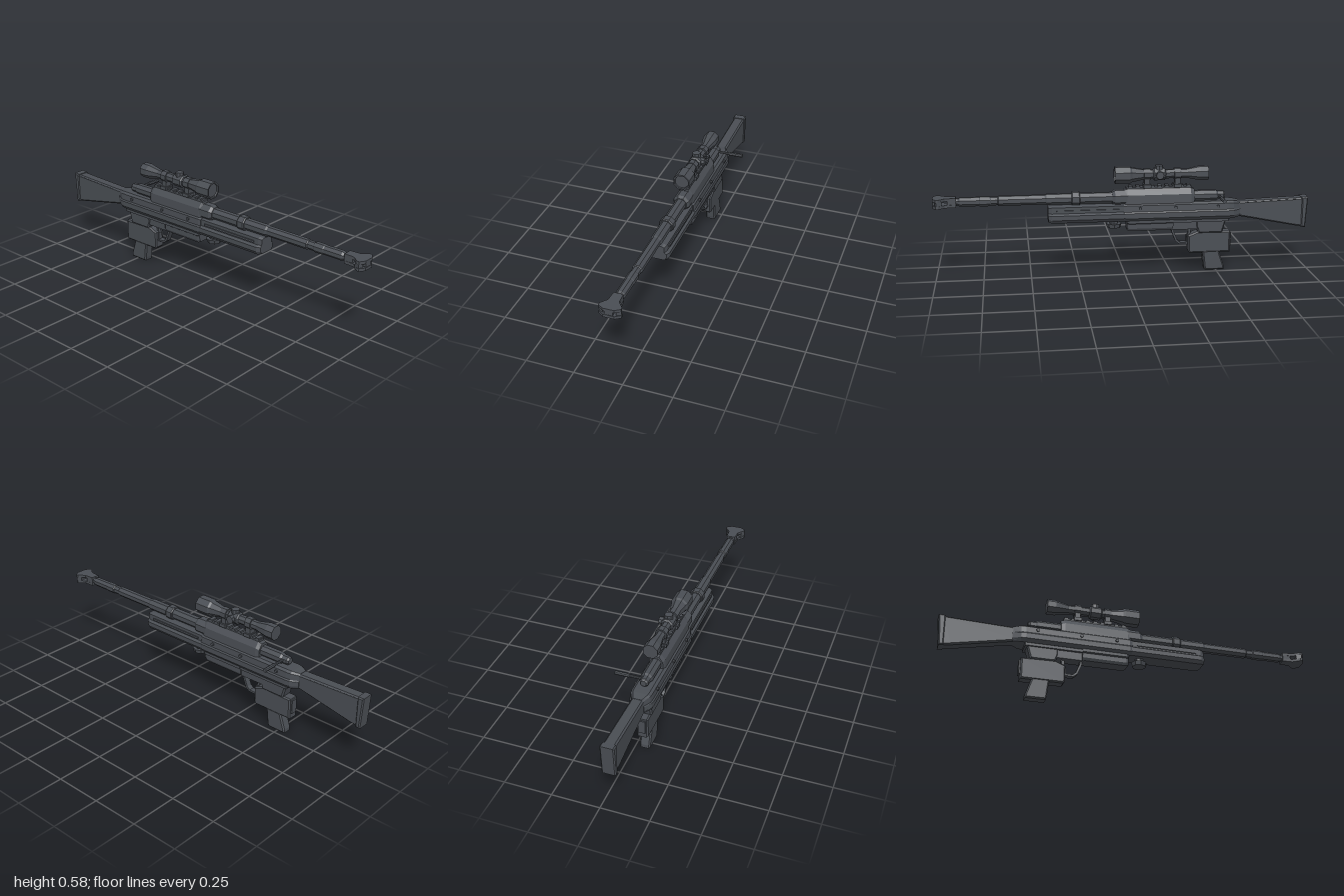
import * as THREE from 'three';

const steel = new THREE.MeshStandardMaterial({ color: 0x4a4e54, flatShading: true });
steel.name = 'gunmetal';

export function createModel() {
  const root = new THREE.Group();
  root.name = 'rifle';
  const body = new THREE.Group();
  body.name = 'body';
  body.position.z = 0.05;
  root.add(body);

  const add = (name, geo, x = 0, y = 0, z = 0) => {
    const m = new THREE.Mesh(geo, steel);
    m.name = name;
    m.position.set(x, y, z);
    body.add(m);
    return m;
  };
  const box = (name, x0, x1, y0, y1, half, z = 0) =>
    add(name, new THREE.BoxGeometry(x1 - x0, y1 - y0, half * 2), (x0 + x1) / 2, (y0 + y1) / 2, z);

  // Turned part along x from [x, radius] pairs
  const turned = (name, y, profile, sides = 8) => {
    const pts = [[profile[0][0], 0], ...profile, [profile[profile.length - 1][0], 0]];
    const g = new THREE.LatheGeometry(pts.map(([x, r]) => new THREE.Vector2(r, x)), sides);
    g.rotateZ(-Math.PI / 2).rotateX(Math.PI / sides);
    return add(name, g, 0, y);
  };

  // Mirrored section (half given top to bottom as [z, y]) lofted over [x, zScale, yScale]
  const loft = (name, half, stations, cy) => {
    const ring = [...half, ...half.slice().reverse().map(([z, y]) => [-z, y])];
    const n = ring.length, pos = [], idx = [];
    for (const [x, sz, sy] of stations)
      for (const [z, y] of ring) pos.push(x, cy + (y - cy) * sy, z * sz);
    for (let k = 0; k < stations.length - 1; k++)
      for (let i = 0; i < n; i++) {
        const a = k * n + i, b = k * n + (i + 1) % n;
        idx.push(a, b, b + n, a, b + n, a + n);
      }
    const e = (stations.length - 1) * n;
    for (let i = 1; i < n - 1; i++) idx.push(0, i + 1, i, e, e + i, e + i + 1);
    const g = new THREE.BufferGeometry();
    g.setAttribute('position', new THREE.Float32BufferAttribute(pos, 3));
    g.setIndex(idx);
    g.computeVertexNormals();
    return add(name, g);
  };

  // Side outline extruded across z, with optional hole and edge chamfer
  const V = (p) => p.map(([x, y]) => new THREE.Vector2(x, y));
  const plate = (name, outline, half, bevel = 0, hole = null) => {
    const s = new THREE.Shape(V(outline));
    if (hole) s.holes.push(new THREE.Path(V(hole)));
    const g = new THREE.ExtrudeGeometry(s, {
      depth: (half - bevel) * 2, bevelEnabled: bevel > 0, bevelSize: bevel,
      bevelOffset: -bevel, bevelThickness: bevel, bevelSegments: 1,
    });
    g.translate(0, 0, -(half - bevel));
    return add(name, g);
  };

  // Shoulder stock: frame, inset panel and butt plate
  plate('stockFrame', [[-0.98, 0.39], [-0.98, 0.228], [-0.93, 0.235], [-0.6, 0.302], [-0.6, 0.378]],
    0.031, 0.008, [[-0.945, 0.376], [-0.66, 0.366], [-0.66, 0.322], [-0.945, 0.262]]);
  plate('stockPanel', [[-0.938, 0.368], [-0.655, 0.36], [-0.655, 0.32], [-0.938, 0.26]], 0.018);
  plate('buttPlate', [[-1, 0.395], [-0.99, 0.225], [-0.965, 0.228], [-0.965, 0.393]], 0.036, 0.006);

  // Receiver and fore-end
  loft('receiver', [[0.04, 0.388], [0.053, 0.378], [0.055, 0.345], [0.061, 0.338], [0.061, 0.31], [0.047, 0.292]],
    [[-0.625, 0.55, 0.85], [-0.585, 0.95, 0.98], [-0.56, 1, 1], [-0.01, 1, 1], [0.005, 0.94, 0.96]], 0.34);
  loft('foreEnd', [[0.03, 0.385], [0.045, 0.378], [0.045, 0.345], [0.059, 0.336], [0.059, 0.312], [0.046, 0.294]],
    [[-0.01, 1, 1], [0.385, 1, 1], [0.405, 0.82, 0.88]], 0.342);
  for (const s of [-1, 1]) {
    for (const x of [-0.5, -0.27, -0.08]) {
      const pin = add('sidePin', new THREE.CylinderGeometry(0.009, 0.009, 0.012, 6), x, 0.363, s * 0.056);
      pin.rotation.x = Math.PI / 2;
    }
    box('foreEndRib', 0.03, 0.36, 0.352, 0.362, 0.004, s * 0.047);
  }

  // Upper tube, bolt shroud and rail
  turned('boltShroud', 0.413, [[-0.545, 0.016], [-0.535, 0.024], [-0.505, 0.024], [-0.495, 0.03], [-0.36, 0.03]]);
  turned('upperTube', 0.413, [[-0.37, 0.034], [-0.36, 0.042], [-0.03, 0.042], [-0.02, 0.046], [0.05, 0.046], [0.065, 0.036]]);
  loft('upperHousing', [[0.02, 0.462], [0.042, 0.432], [0.045, 0.38]],
    [[-0.375, 0.85, 0.9], [-0.355, 1, 1], [-0.015, 1, 1], [0, 0.9, 0.95]], 0.38);
  box('scopeRail', -0.36, -0.01, 0.455, 0.47, 0.02);
  for (let i = 0; i < 9; i++) box('railTooth', -0.355 + i * 0.039, -0.335 + i * 0.039, 0.47, 0.478, 0.02);

  // Bolt handle on the right side
  const handle = (name, r, z0, z1) => {
    add(name, new THREE.CylinderGeometry(r, r, z1 - z0, 8).rotateX(Math.PI / 2), -0.51, 0.414, (z0 + z1) / 2);
  };
  handle('boltStem', 0.007, -0.11, -0.01);
  handle('boltKnob', 0.01, -0.16, -0.085);

  // Barrel with stepped rings and clamp
  turned('barrel', 0.415, [[0.04, 0.031], [0.41, 0.031], [0.42, 0.027], [0.66, 0.027], [0.665, 0.023],
    [0.7, 0.023], [0.705, 0.027], [0.755, 0.027], [0.76, 0.025], [0.86, 0.025], [0.87, 0.019], [0.89, 0.019]]);
  turned('barrelClamp', 0.415, [[0.235, 0.036], [0.24, 0.04], [0.275, 0.04], [0.28, 0.036]]);
  box('clampFoot', 0.242, 0.273, 0.375, 0.4, 0.022);

  // Muzzle brake: flared plates joined by posts, open through the sides
  const plan = V([[0.88, -0.024], [0.935, -0.027], [0.97, -0.055], [0.982, -0.055], [1, -0.028],
    [1, 0.028], [0.982, 0.055], [0.97, 0.055], [0.935, 0.027], [0.88, 0.024]]);
  for (const y of [0.405, 0.44]) {
    const g = new THREE.ExtrudeGeometry(new THREE.Shape(plan), { depth: 0.015, bevelEnabled: false });
    add('muzzlePlate', g.rotateX(Math.PI / 2), 0, y);
  }
  box('muzzleCore', 0.88, 0.925, 0.394, 0.436, 0.024);
  for (const s of [-1, 1]) {
    const fin = box('muzzleFin', 0.955, 0.985, 0.4, 0.43, 0.012, s * 0.038);
    fin.rotation.y = -s * 0.4;
  }
  turned('muzzleRing', 0.415, [[0.96, 0.022], [0.998, 0.022]]);

  // Telescopic sight
  turned('scope', 0.536, [[-0.45, 0.034], [-0.45, 0.04], [-0.405, 0.04], [-0.335, 0.025], [-0.12, 0.025],
    [-0.04, 0.041], [-0.03, 0.047], [0.05, 0.047], [0.05, 0.039], [0.042, 0.037]]);
  turned('scopeCollar', 0.536, [[-0.222, 0.026], [-0.215, 0.034], [-0.16, 0.034], [-0.153, 0.026]]);
  add('elevationDial', new THREE.CylinderGeometry(0.022, 0.024, 0.045, 8), -0.187, 0.56);
  add('windageDial', new THREE.CylinderGeometry(0.021, 0.021, 0.045, 8).rotateX(Math.PI / 2), -0.187, 0.536, -0.026);
  for (const x of [-0.285, -0.122]) {
    turned('scopeRing', 0.536, [[x - 0.018, 0.032], [x + 0.018, 0.032]]);
    box('mountPost', x - 0.014, x + 0.014, 0.47, 0.52, 0.02);
    box('mountClamp', x - 0.02, x + 0.02, 0.466, 0.484, 0.029);
  }

  // Lower housing and front swivel
  loft('lowerHousing', [[0.05, 0.305], [0.05, 0.28], [0.042, 0.275], [0.042, 0.25], [0.034, 0.236]],
    [[-0.26, 1, 1], [-0.025, 1, 1], [-0.012, 0.88, 0.9]], 0.3);
  box('lowerRail', -0.56, -0.25, 0.277, 0.305, 0.046);
  box('triggerHousing', -0.42, -0.25, 0.235, 0.28, 0.032);
  add('swivelNeck', new THREE.CylinderGeometry(0.024, 0.024, 0.04, 8), 0.055, 0.285);
  add('swivelKnob', new THREE.CylinderGeometry(0.042, 0.036, 0.022, 8), 0.055, 0.264);

  // Grip neck, side box and grip
  plate('gripNeck', [[-0.55, 0.285], [-0.53, 0.21], [-0.40, 0.21], [-0.385, 0.25], [-0.385, 0.285]], 0.036, 0.008);
  plate('gripBox', [[-0.575, 0.215], [-0.575, 0.1], [-0.355, 0.1], [-0.345, 0.112], [-0.345, 0.198], [-0.40, 0.22]], 0.03, 0.007);
  box('gripBoxRib', -0.582, -0.56, 0.13, 0.205, 0.018);
  box('gripBoxFront', -0.35, -0.339, 0.145, 0.195, 0.012);
  plate('grip', [[-0.515, 0.11], [-0.545, 0.02], [-0.545, 0], [-0.44, 0], [-0.435, 0.02], [-0.425, 0.11]], 0.028, 0.007);

  // Trigger and guard
  plate('trigger', [[-0.365, 0.24], [-0.36, 0.205], [-0.345, 0.185], [-0.34, 0.19], [-0.348, 0.21], [-0.345, 0.24]], 0.007);
  plate('triggerGuard', [[-0.35, 0.148], [-0.30, 0.148], [-0.278, 0.165], [-0.256, 0.22], [-0.256, 0.24],
    [-0.268, 0.24], [-0.268, 0.222], [-0.288, 0.172], [-0.304, 0.158], [-0.35, 0.158]], 0.016);

  return root;
}
